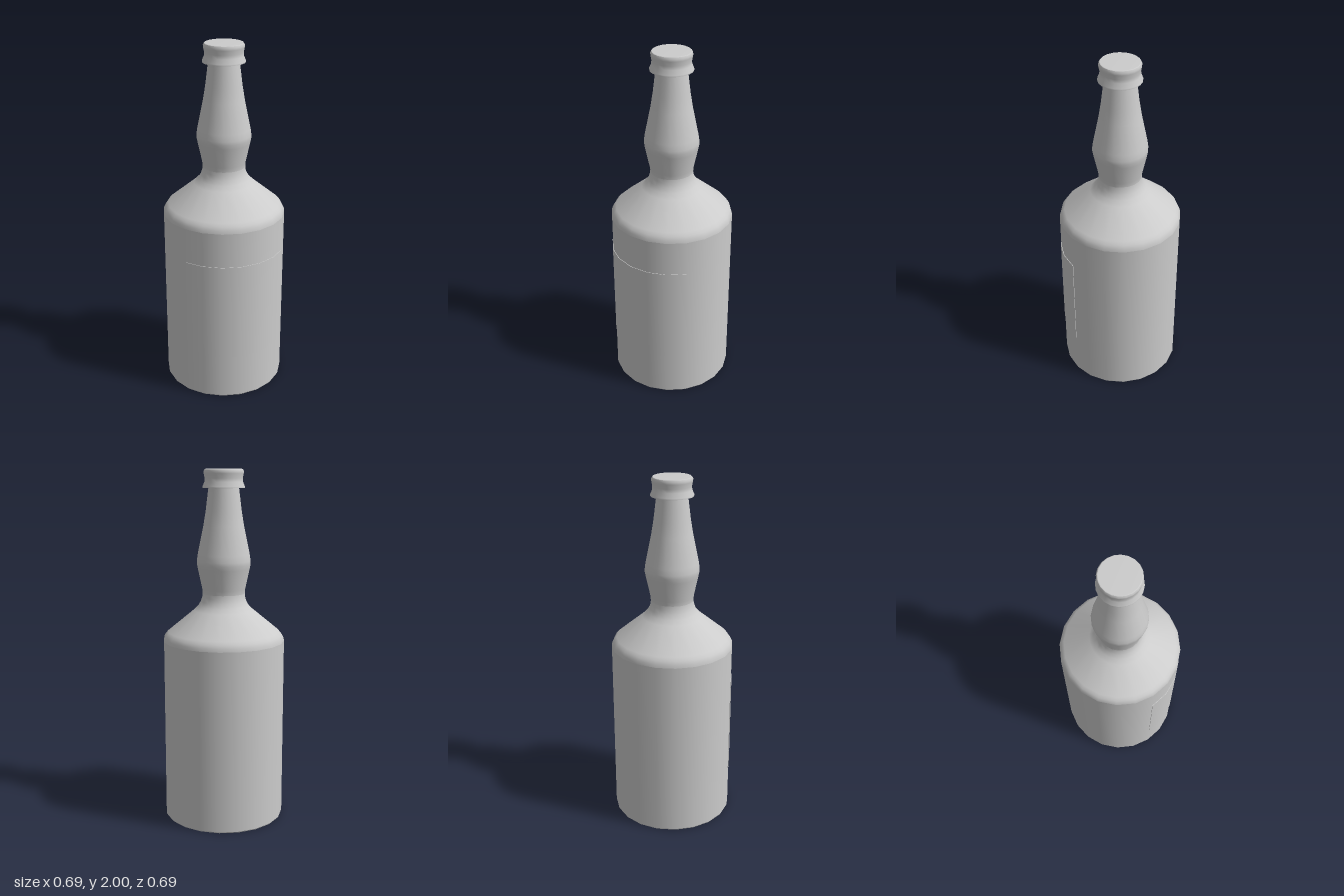
import * as THREE from 'three';

const SIDES = 20;
const material = new THREE.MeshStandardMaterial({ color: 0xcccccc, side: THREE.DoubleSide });

// One lathe per smooth run of the profile, so edges between runs stay sharp
function turned(name, runs, sides = SIDES, start = 0, sweep = Math.PI * 2) {
  const group = new THREE.Group();
  group.name = name;
  runs.forEach((run, i) => {
    const points = run.map(([r, y]) => new THREE.Vector2(r, y));
    const mesh = new THREE.Mesh(new THREE.LatheGeometry(points, sides, start, sweep), material);
    mesh.name = `${name}Surface${i + 1}`;
    group.add(mesh);
  });
  return group;
}

export function createModel() {
  const bottle = new THREE.Group();
  bottle.name = 'bottle';

  // Flat base, straight wall and rounded shoulder
  bottle.add(turned('body', [
    [[0, 0], [0.343, 0]],
    [[0.343, 0], [0.346, 0.006]],
    [[0.346, 0.006], [0.346, 1.04]],
    [[0.346, 1.04], [0.343, 1.058], [0.334, 1.076], [0.318, 1.093],
      [0.17, 1.215], [0.145, 1.24], [0.13, 1.265], [0.122, 1.29], [0.12, 1.31]],
  ]));

  // Bulging neck that tapers to the cap
  bottle.add(turned('neck', [
    [[0.12, 1.31], [0.122, 1.335], [0.147, 1.45], [0.152, 1.475], [0.152, 1.495],
      [0.147, 1.53], [0.114, 1.69], [0.101, 1.77], [0.085, 1.9]],
  ]));

  // Waisted cap with a flared lower rim and flat top
  bottle.add(turned('cap', [
    [[0.08, 1.897], [0.118, 1.897]],
    [[0.118, 1.897], [0.118, 1.905], [0.107, 1.93], [0.106, 1.95], [0.111, 1.975], [0.112, 1.987], [0.107, 1.997]],
    [[0.107, 1.997], [0.103, 2], [0, 2]],
  ]));

  // Thin label wrapped over the front, six wall facets wide
  const half = Math.PI * 0.3;
  bottle.add(turned('frontLabel', [
    [[0.344, 0.265], [0.349, 0.265]],
    [[0.349, 0.265], [0.349, 0.84]],
    [[0.349, 0.84], [0.344, 0.84]],
  ], 6, -half, half * 2));

  // Side edges of the label
  for (const side of [-1, 1]) {
    const edge = new THREE.Mesh(new THREE.PlaneGeometry(0.005, 0.575), material);
    edge.name = side > 0 ? 'labelEdgeLeft' : 'labelEdgeRight';
    edge.position.set(side * 0.3465 * Math.sin(half), 0.5525, 0.3465 * Math.cos(half));
    edge.rotation.y = side * half - Math.PI / 2;
    bottle.add(edge);
  }
  return bottle;
}
